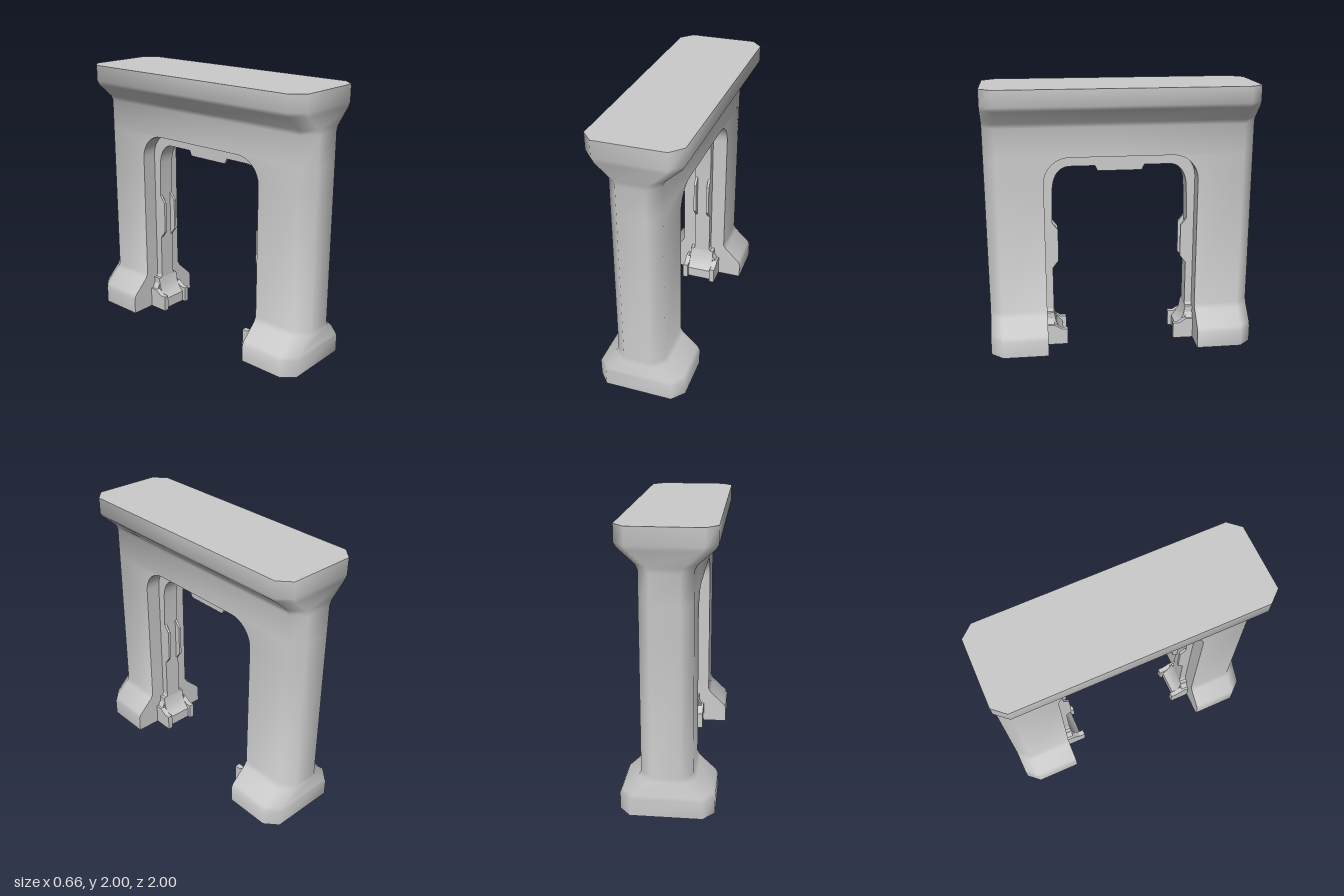
import * as THREE from 'three';
import { toCreasedNormals } from 'three/addons/utils/BufferGeometryUtils.js';

const material = new THREE.MeshStandardMaterial({ color: 0xcccccc });

function addMesh(parent, name, geometry, crease) {
  const mesh = new THREE.Mesh(toCreasedNormals(geometry, crease), material);
  mesh.name = name;
  parent.add(mesh);
  return mesh;
}

// Extrudes a (z, y) outline across the thickness from x0 to x1
function slab(shape, x0, x1) {
  const g = new THREE.ExtrudeGeometry(shape, { depth: x1 - x0, bevelEnabled: false, curveSegments: 10 });
  return g.rotateY(-Math.PI / 2).translate(x1, 0, 0);
}

const polygon = (points) => new THREE.Shape(points.map(([a, b]) => new THREE.Vector2(a, b)));

// Half thickness of the wall by height: flared foot, straight shaft, flared cap
const profile = [
  [0, 0.33], [0.125, 0.33], [0.155, 0.315], [0.265, 0.2], [0.3, 0.18],
  [1.71, 0.18], [1.745, 0.195], [1.85, 0.312], [1.88, 0.33], [2, 0.33],
];

// Half of the archway (z >= 0), lofted through horizontal sections
function halfWall() {
  const rows = profile.slice(0, 5).map(([y, w]) => ({ y, w, inner: 0.57 }));
  for (let i = 0; i <= 8; i++) {
    const t = (i / 8) * Math.PI / 2;
    rows.push({ y: 1.3 + 0.19 * Math.sin(t), w: 0.18, inner: 0.38 + 0.19 * Math.cos(t) });
  }
  rows.push({ y: 1.49, w: 0.18, inner: 0 });
  profile.slice(5).forEach(([y, w]) => rows.push({ y, w, inner: 0 }));

  const loops = rows.map(({ y, w, inner }) => [
    [w, y, inner], [w, y, 0.91], [w - 0.08, y, 1],
    [0.08 - w, y, 1], [-w, y, 0.91], [-w, y, inner],
  ]);
  const pos = [];
  const tri = (a, b, c) => pos.push(...a, ...b, ...c);
  for (let r = 0; r < loops.length - 1; r++) {
    const a = loops[r], b = loops[r + 1];
    // the opening side is closed only below the lintel
    const sides = rows[r].inner > 0 ? 6 : 5;
    const flat = rows[r].y === rows[r + 1].y || rows[r + 1].inner === 0 && rows[r].inner > 0;
    for (let i = flat ? 5 : 0; i < sides; i++) {
      const j = (i + 1) % 6;
      tri(a[j], a[i], b[i]);
      tri(a[j], b[i], b[j]);
    }
  }
  const foot = loops[0], cap = loops[loops.length - 1];
  for (let i = 1; i < 5; i++) {
    tri(foot[0], foot[i], foot[i + 1]);
    tri(cap[0], cap[i + 1], cap[i]);
  }
  return pos;
}

function wallGeometry() {
  const half = halfWall();
  const turned = half.map((v, i) => (i % 3 === 1 ? v : -v));
  const g = new THREE.BufferGeometry();
  g.setAttribute('position', new THREE.Float32BufferAttribute(half.concat(turned), 3));
  return g;
}

// Raised band lining the opening
function liningShape() {
  const s = new THREE.Shape();
  s.moveTo(0.59, 0);
  s.lineTo(0.59, 1.3);
  s.absarc(0.38, 1.3, 0.21, 0, Math.PI / 2, false);
  s.lineTo(-0.38, 1.51);
  s.absarc(-0.38, 1.3, 0.21, Math.PI / 2, Math.PI, false);
  s.lineTo(-0.59, 0);
  s.lineTo(-0.515, 0);
  s.lineTo(-0.515, 0.97);
  s.lineTo(-0.505, 1.24);
  s.bezierCurveTo(-0.495, 1.34, -0.45, 1.4, -0.37, 1.4);
  s.lineTo(0.37, 1.4);
  s.bezierCurveTo(0.45, 1.4, 0.495, 1.34, 0.505, 1.24);
  s.lineTo(0.515, 0.97);
  s.lineTo(0.515, 0);
  return s;
}

export function createModel() {
  const model = new THREE.Group();
  model.name = 'archway';
  addMesh(model, 'archWall', wallGeometry(), 1.05);
  addMesh(model, 'openingLining', slab(liningShape(), -0.065, 0.065), 0.5);

  // Thin tabs hanging from the top of the lining
  const topTab = polygon([[-0.19, 1.41], [-0.165, 1.36], [0.165, 1.36], [0.19, 1.41]]);
  // Thin tabs standing off each jamb
  const jambTab = polygon([[0.52, 0.6], [0.52, 0.975], [0.47, 0.91], [0.47, 0.665]]);
  const prong = polygon([[0.58, 0], [0.58, 0.16], [0.515, 0.16], [0.46, 0.125], [0.415, 0.125], [0.415, 0]]);
  const ramp = polygon([[0.58, 0], [0.58, 0.25], [0.515, 0.25], [0.503, 0.18], [0.48, 0.125], [0.445, 0.085], [0.445, 0]]);
  const flare = polygon([[-0.14, 0], [0.14, 0], [0.14, 0.125], [0.065, 0.27], [-0.065, 0.27], [-0.14, 0.125]]);

  for (const s of [1, -1]) {
    const inner = s > 0 ? 0.045 : -0.065;
    addMesh(model, 'topTab', slab(topTab, inner, inner + 0.02), 0.3);

    const jamb = new THREE.Group();
    jamb.name = s > 0 ? 'frontJamb' : 'backJamb';
    jamb.rotation.y = s > 0 ? 0 : Math.PI;
    const flareGeometry = new THREE.ExtrudeGeometry(flare, { depth: 0.075, bevelEnabled: false });
    addMesh(jamb, 'liningFlare', flareGeometry.translate(0, 0, 0.515), 0.3);
    addMesh(jamb, 'footRamp', slab(ramp, -0.1, 0.1), 0.6);
    for (const x of [-0.065, 0.045]) addMesh(jamb, 'jambTab', slab(jambTab, x, x + 0.02), 0.3);
    for (const x of [-0.14, 0.1]) addMesh(jamb, 'footProng', slab(prong, x, x + 0.04), 0.3);
    model.add(jamb);
  }
  return model;
}
